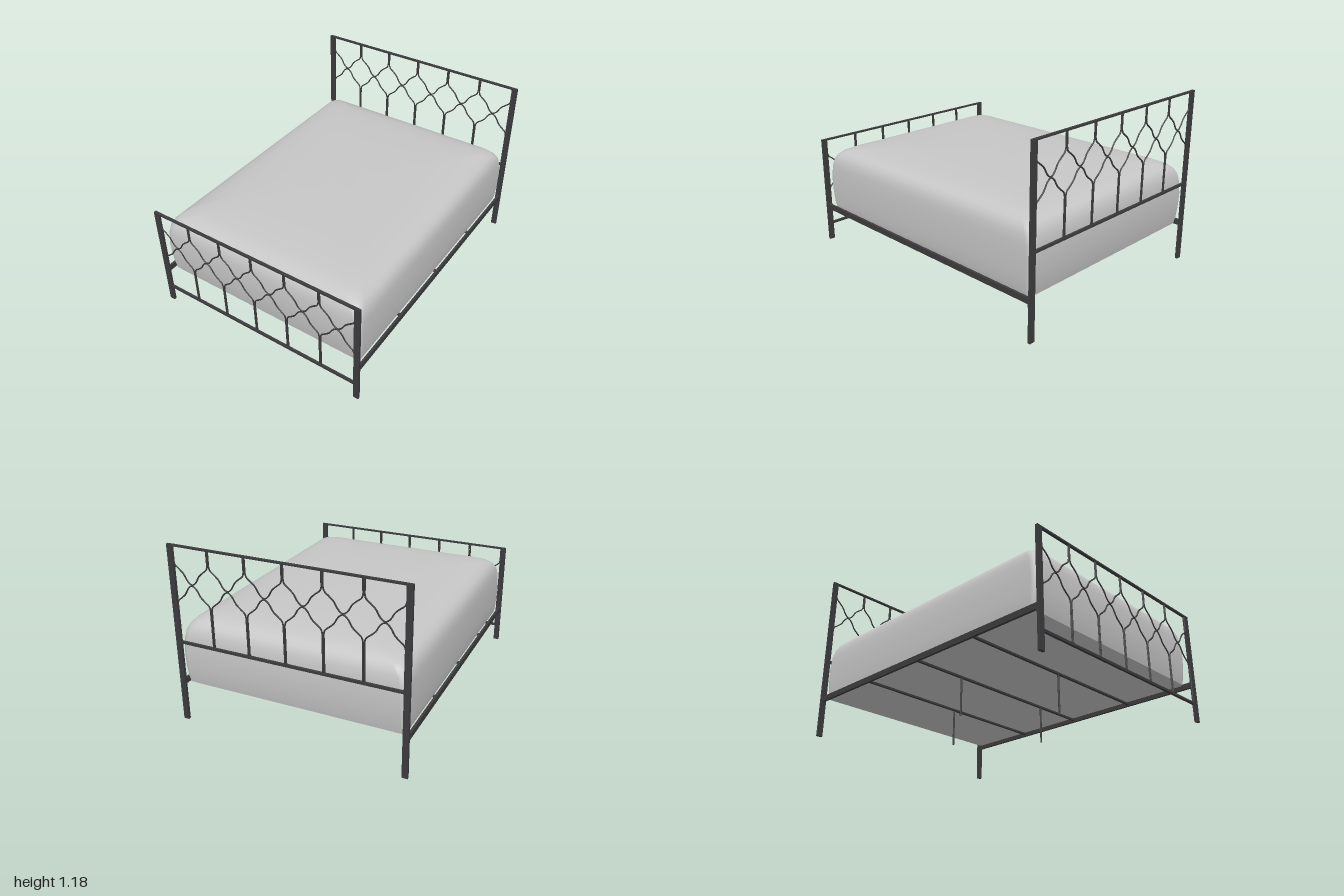
import * as THREE from 'three';

const metal = new THREE.MeshStandardMaterial({ color: 0x3c3c3e });
metal.name = 'dark metal';
const fabric = new THREE.MeshStandardMaterial({ color: 0xc6c6c6 });
fabric.name = 'light grey fabric';

function add(parent, name, geometry, material, x = 0, y = 0, z = 0) {
  const mesh = new THREE.Mesh(geometry, material);
  mesh.name = name;
  mesh.position.set(x, y, z);
  parent.add(mesh);
  return mesh;
}
const box = (parent, name, w, h, d, x, y, z) =>
  add(parent, name, new THREE.BoxGeometry(w, h, d), metal, x, y, z);

// Wrought panel between two posts; the scrollwork hangs from the top rail
function createEndPanel(name, top, z) {
  const panel = new THREE.Group();
  panel.name = name;
  const bottom = top - 0.635;
  const node = top - 0.242;
  for (const s of [-1, 1]) {
    box(panel, 'post', 0.037, top, 0.018, s * 0.7535, top / 2, z);
  }
  box(panel, 'topRail', 1.5, 0.011, 0.018, 0, top - 0.0055, z);
  box(panel, 'lowerRail', 1.5, 0.016, 0.016, 0, bottom, z);

  // Half of one bar, as offsets from the cell edge and from the crossing
  const half = [[0.005, 0.165], [0.005, 0.14], [0.013, 0.115], [0.04, 0.092],
    [0.068, 0.066], [0.092, 0.026], [0.11, 0.008]];
  const pitch = 0.247;
  for (let cell = -3; cell < 3; cell++) {
    for (const s of [1, -1]) {
      const end = s > 0 ? top - node - 0.005 : node - bottom;
      const left = [[0.005, end], ...half];
      const right = left.map(([x, y]) => [pitch - x, y]).reverse();
      const points = [...left, [pitch / 2, 0.003], ...right].map(([x, y]) =>
        new THREE.Vector3(cell * pitch + x, node + s * y, z));
      const curve = new THREE.CatmullRomCurve3(points, false, 'centripetal');
      add(panel, 'scrollBar', new THREE.TubeGeometry(curve, 72, 0.0048, 6), metal);
    }
  }
  return panel;
}

// Mattress as stacked rounded-rectangle rings: [y, half width, half length, corner radius]
function createMattressGeometry() {
  const rings = [
    [0.262, 0, 0, 0], [0.262, 0.735, 0.948, 0.03],
    [0.262, 0.735, 0.948, 0.03], [0.30, 0.743, 0.956, 0.035],
    [0.38, 0.747, 0.967, 0.04], [0.48, 0.748, 0.971, 0.04],
    [0.57, 0.743, 0.965, 0.045], [0.62, 0.735, 0.955, 0.05],
    [0.655, 0.719, 0.938, 0.06], [0.68, 0.695, 0.915, 0.07],
    [0.70, 0.654, 0.872, 0.09], [0.714, 0.59, 0.805, 0.11],
    [0.724, 0.5, 0.69, 0.13], [0.731, 0.36, 0.5, 0.13],
    [0.735, 0.18, 0.26, 0.09], [0.736, 0, 0, 0],
  ];
  const arc = 8;
  const count = 4 * (arc + 1);
  const positions = [];
  const index = [];
  rings.forEach(([y, hx, hz, r], i) => {
    for (let corner = 0; corner < 4; corner++) {
      const sx = corner === 0 || corner === 3 ? 1 : -1;
      const sz = corner < 2 ? 1 : -1;
      for (let k = 0; k <= arc; k++) {
        const t = (corner + k / arc) * Math.PI / 2;
        positions.push(sx * (hx - r) + r * Math.cos(t), y, sz * (hz - r) + r * Math.sin(t));
      }
    }
    if (i === rings.length - 1) return;
    for (let j = 0; j < count; j++) {
      const a = i * count + j;
      const b = i * count + (j + 1) % count;
      index.push(a, a + count, b, b, a + count, b + count);
    }
  });
  const geometry = new THREE.BufferGeometry();
  geometry.setAttribute('position', new THREE.Float32BufferAttribute(positions, 3));
  geometry.setIndex(index);
  geometry.computeVertexNormals();
  return geometry;
}

export function createModel() {
  const bed = new THREE.Group();
  bed.name = 'bed';

  bed.add(createEndPanel('headboard', 1.185, -0.991));
  bed.add(createEndPanel('footboard', 0.757, 0.991));

  // Side rails with small end brackets
  for (const s of [-1, 1]) {
    box(bed, 'sideRail', 0.016, 0.038, 1.965, s * 0.76, 0.26, 0);
    for (const e of [-1, 1]) {
      box(bed, 'railBracket', 0.022, 0.06, 0.008, s * 0.757, 0.25, e * 0.979);
    }
  }

  // Cross slats and their support legs
  const supports = [[-0.48, [0]], [0, [-0.38, 0.38]], [0.48, [0]]];
  for (const [z, legs] of supports) {
    box(bed, 'crossSlat', 1.51, 0.014, 0.016, 0, 0.256, z);
    for (const x of legs) {
      add(bed, 'supportLeg', new THREE.CylinderGeometry(0.0065, 0.0065, 0.25, 12), metal, x, 0.125, z);
    }
  }

  add(bed, 'mattress', createMattressGeometry(), fabric, 0, 0, -0.012);
  return bed;
}
